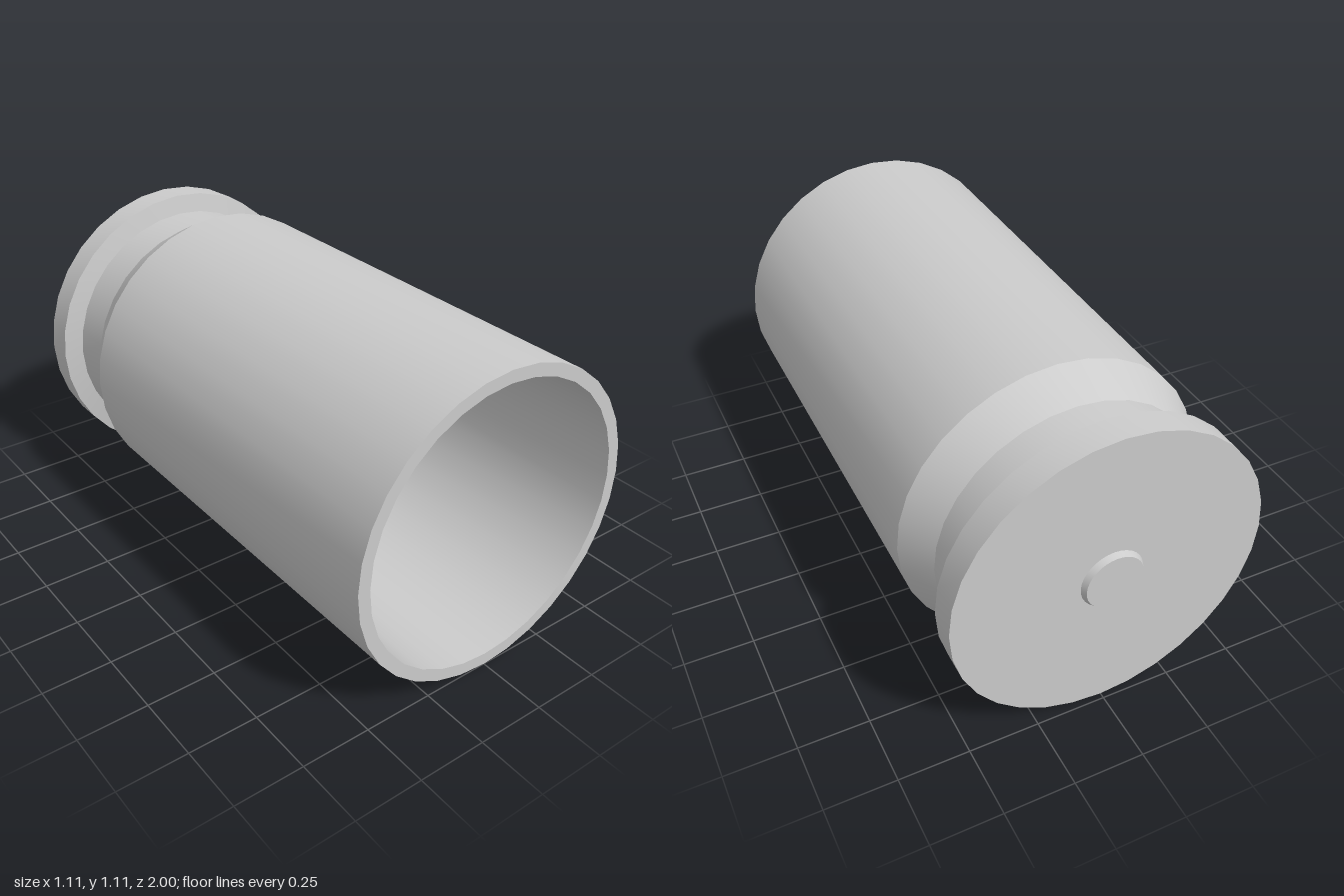
import * as THREE from 'three';
import { toCreasedNormals } from 'three/addons/utils/BufferGeometryUtils.js';

const SIDES = 32;
const R = 0.556; // outer radius, also the height of the axis

// Revolve [radius, z] pairs, listed from back to front, around the z axis
function turned(name, profile, material) {
  const points = profile.map(([r, z]) => new THREE.Vector2(r, z));
  const geometry = new THREE.LatheGeometry(points, SIDES).rotateX(Math.PI / 2);
  const mesh = new THREE.Mesh(toCreasedNormals(geometry, 0.35), material);
  mesh.name = name;
  mesh.position.y = R;
  return mesh;
}

export function createModel() {
  const group = new THREE.Group();
  group.name = 'cartridgeCase';
  const metal = new THREE.MeshStandardMaterial({ color: 0xcccccc });

  // Hollow case: flat base, rim, extractor groove, straight wall, open mouth and bore
  group.add(turned('case', [
    [0, -0.98],
    [R, -0.98],
    [R, -0.877],
    [0.485, -0.862],
    [0.485, -0.71],
    [R, -0.577],
    [R, 1],
    [0.511, 1],
    [0.511, -0.56],
    [0, -0.56],
  ], metal));

  // Small primer button standing proud of the base
  group.add(turned('primer', [
    [0, -1],
    [0.102, -1],
    [0.112, -0.98],
  ], metal));

  return group;
}
